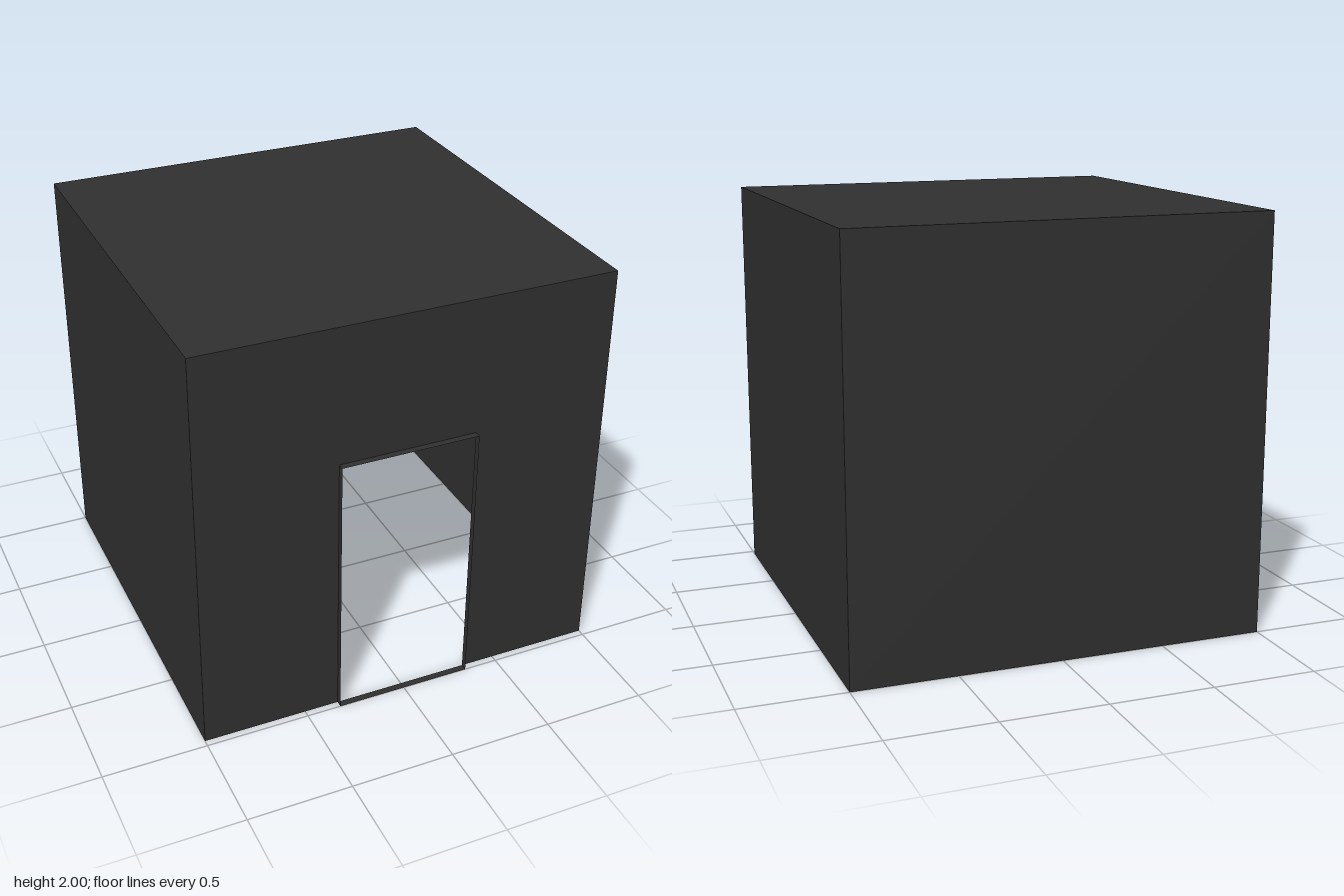
import * as THREE from 'three';

const FRONT = 0.967, BACK = -1, DOOR_W = 0.667, DOOR_H = 1.333;

export function createModel() {
  const group = new THREE.Group();
  const charcoal = new THREE.MeshStandardMaterial({ color: 0x303030, side: THREE.DoubleSide });
  charcoal.name = 'charcoal';

  const add = (name, geometry, position, rotation = [0, 0, 0]) => {
    const mesh = new THREE.Mesh(geometry, charcoal);
    mesh.name = name;
    mesh.position.set(...position);
    mesh.rotation.set(...rotation);
    group.add(mesh);
  };
  const plane = (w, h) => new THREE.PlaneGeometry(w, h);
  const depth = FRONT - BACK, midZ = (FRONT + BACK) / 2, q = Math.PI / 2;

  // Thin shell, open underneath
  add('roof', plane(2, depth), [0, 2, midZ], [-q, 0, 0]);
  add('backWall', plane(2, 2), [0, 1, BACK], [0, Math.PI, 0]);
  add('leftWall', plane(depth, 2), [1, 1, midZ], [0, q, 0]);
  add('rightWall', plane(depth, 2), [-1, 1, midZ], [0, -q, 0]);

  // Front wall with the doorway cut out
  const d = DOOR_W / 2;
  const wall = new THREE.Shape([
    [-1, 0], [-d, 0], [-d, DOOR_H], [d, DOOR_H], [d, 0], [1, 0], [1, 2], [-1, 2],
  ].map(([x, y]) => new THREE.Vector2(x, y)));
  add('frontWall', new THREE.ShapeGeometry(wall), [0, 0, FRONT]);

  // Thin rim projecting forward around the doorway
  const rim = 1 - FRONT, rimZ = (1 + FRONT) / 2;
  add('doorLintel', plane(DOOR_W, rim), [0, DOOR_H, rimZ], [-q, 0, 0]);
  add('doorSill', plane(DOOR_W, rim), [0, 0, rimZ], [-q, 0, 0]);
  for (const s of [-1, 1]) {
    add(s > 0 ? 'leftDoorJamb' : 'rightDoorJamb', plane(rim, DOOR_H),
      [s * d, DOOR_H / 2, rimZ], [0, s * q, 0]);
  }
  return group;
}
